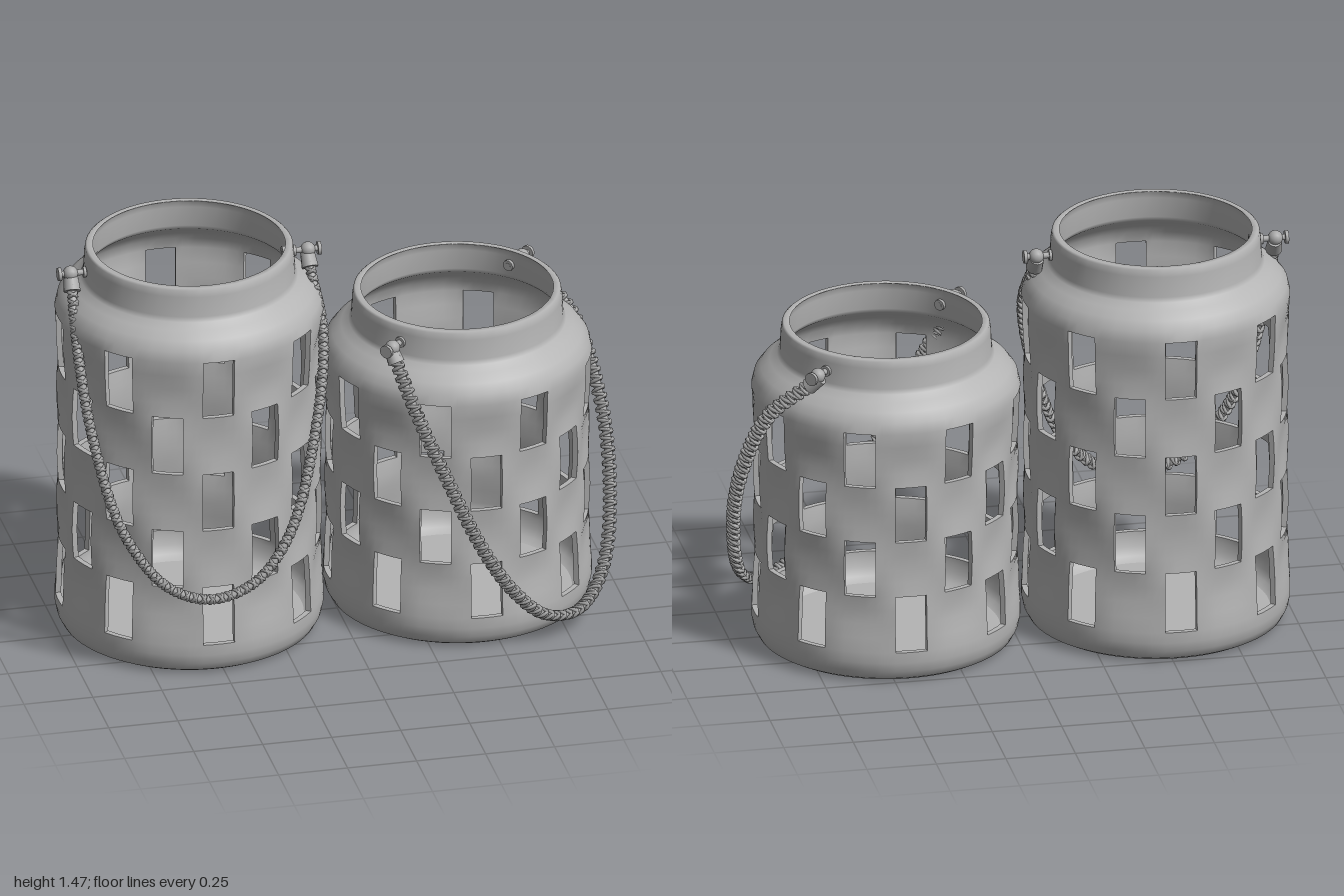
import * as THREE from 'three';

const ceramic = new THREE.MeshStandardMaterial({ color: 0xb4b4b4 });
ceramic.name = 'grey ceramic';
const cord = new THREE.MeshStandardMaterial({ color: 0xa8a8a8 });
cord.name = 'grey cord';

const R = 0.475, WALL = 0.02, BAND = 0.12; // body radius, wall, start of the window band
const HALF = 0.12;                         // half the angle of one window
const SUB = 4;                             // levels per window row

function mesh(name, geometry, material) {
  const m = new THREE.Mesh(geometry, material);
  m.name = name;
  return m;
}

// Column angles: window, gap, offset window, gap, eight times round
function columnAngles() {
  const angles = [], gap = Math.PI / 8 - 2 * HALF;
  for (let k = 0; k < 16; k++) {
    const start = k * Math.PI / 8 - HALF;
    for (let s = 0; s < 3; s++) angles.push(start + 2 * HALF * s / 3);
    for (let s = 0; s < 3; s++) angles.push(start + 2 * HALF + gap * s / 3);
  }
  return angles;
}

// Pierced jar wall: one profile up the outside, over the rim and down the inside
function makeJar(height, rows) {
  const pitch = (height - 0.24 - BAND) / rows;
  const outer = [[0, 0], [0.425, 0], [0.425, 0], [0.452, 0.015], [0.468, 0.045], [R, 0.08]];
  const first = outer.length;
  for (let i = 0; i <= rows * SUB; i++) outer.push([R, BAND + pitch * i / SUB]);
  for (const [r, drop] of [[0.466, 0.2], [0.442, 0.168], [0.41, 0.142], [0.384, 0.122],
    [0.375, 0.105], [0.371, 0.03], [0.367, 0.006], [0.36, 0]]) outer.push([r, height - drop]);
  const inner = outer.map(([r, y]) => [Math.max(0, r - WALL), y < 0.1 ? y + WALL : y]).reverse();
  const levels = outer.concat(inner), last = levels.length - 1;
  const angles = columnAngles(), n = angles.length;

  // Woven relief: panels between the windows sink inward
  const dent = (a, y) => {
    const v = (y - BAND) / pitch;
    if (v <= 0 || v >= rows) return 0;
    const fade = Math.min(1, v * 1.5, (rows - v) * 1.5);
    return 0.011 * fade * (1 - Math.cos(8 * a) * Math.sin(Math.PI * v));
  };
  const point = (i, j) => {
    const [r, y] = levels[i], a = angles[j % n];
    const d = r > 0 ? r - dent(a, y) : 0;
    return [d * Math.sin(a), y, d * Math.cos(a)];
  };
  const open = (i, j) => {
    const row = Math.floor((i - first) / SUB);
    if (row < 0 || row >= rows) return false;
    const c = (j + n) % 12;
    return row % 2 ? c >= 6 && c < 9 : c < 3;
  };

  const pos = [], index = [], jamb = [];
  for (let i = 0; i <= last; i++) for (let j = 0; j < n; j++) pos.push(...point(i, j));
  for (let i = 0; i < last; i++) {
    const outside = Math.min(i, last - 1 - i);
    for (let j = 0; j < n; j++) {
      if (open(outside, j)) continue;
      const a = i * n + j, b = i * n + (j + 1) % n;
      index.push(a, b, b + n, a, b + n, a + n);
    }
  }
  // Window edges join the outside of the wall to the inside
  for (let i = first; i < first + rows * SUB; i++) for (let j = 0; j < n; j++) {
    if (!open(i, j)) continue;
    const sides = [[i - 1, j, [i, j], [i, j + 1]], [i, j + 1, [i, j + 1], [i + 1, j + 1]],
      [i + 1, j, [i + 1, j + 1], [i + 1, j]], [i, j - 1, [i + 1, j], [i, j]]];
    for (const [ni, nj, p, q] of sides) {
      if (open(ni, nj)) continue;
      const A = point(...p), B = point(...q);
      const C = point(last - q[0], q[1]), D = point(last - p[0], p[1]);
      jamb.push(...A, ...B, ...C, ...A, ...C, ...D);
    }
  }
  const skin = new THREE.BufferGeometry();
  skin.setAttribute('position', new THREE.Float32BufferAttribute(pos, 3));
  skin.setIndex(index);
  skin.computeVertexNormals();
  const edges = new THREE.BufferGeometry();
  edges.setAttribute('position', new THREE.Float32BufferAttribute(jamb, 3));
  edges.computeVertexNormals();
  const jar = new THREE.Group();
  jar.name = 'jar';
  jar.add(mesh('jarWall', skin, ceramic), mesh('windowEdges', edges, ceramic));
  return jar;
}

// One cord wound round the handle, flattened across the loop
class Coil extends THREE.Curve {
  constructor(path, across, turns) {
    super();
    Object.assign(this, { path, across, turns });
  }
  getPoint(t, target = new THREE.Vector3()) {
    const a = t * this.turns * Math.PI * 2;
    const side = this.path.getTangentAt(t).cross(this.across).normalize();
    return target.copy(this.path.getPointAt(t))
      .addScaledVector(this.across, 0.024 * Math.cos(a))
      .addScaledVector(side, 0.013 * Math.sin(a));
  }
}

function makeHandle(points, facing) {
  const handle = new THREE.Group();
  handle.name = 'ropeHandle';
  const path = new THREE.CatmullRomCurve3(points.map(p => new THREE.Vector3(...p)));
  path.arcLengthDivisions = 600;
  const across = new THREE.Vector3(Math.sin(facing) * 0.9, 0.43, Math.cos(facing) * 0.9).normalize();
  handle.add(mesh('ropeCore', new THREE.TubeGeometry(path, 80, 0.015, 8), cord));
  for (const turns of [85, -85]) {
    const coil = new Coil(path, across, turns);
    coil.arcLengthDivisions = 1000;
    handle.add(mesh('ropeCoil', new THREE.TubeGeometry(coil, 850, 0.007, 5), cord));
  }
  // Ferrules at both ends of the rope
  for (const t of [0, 1]) {
    const f = mesh('ropeFerrule', new THREE.CylinderGeometry(0.025, 0.03, 0.06, 14), cord);
    const up = path.getTangentAt(t).multiplyScalar(t ? 1 : -1);
    f.quaternion.setFromUnitVectors(new THREE.Vector3(0, 1, 0), up);
    f.position.copy(path.getPointAt(t)).addScaledVector(up, 0.01);
    handle.add(f);
  }
  return handle;
}

// Pin through the neck, pointing out along +x before it is turned
function makePin(y, turn) {
  const pin = new THREE.Group();
  pin.name = 'handlePin';
  for (const [name, radius, length, x] of [['pinShaft', 0.011, 0.14, 0.405],
    ['pinHead', 0.024, 0.012, 0.47], ['pinWasher', 0.02, 0.01, 0.38], ['pinNut', 0.02, 0.012, 0.342]]) {
    const part = mesh(name, new THREE.CylinderGeometry(radius, radius, length, 14), cord);
    part.rotation.z = Math.PI / 2;
    part.position.x = x;
    pin.add(part);
  }
  const eye = mesh('pinEye', new THREE.SphereGeometry(0.027, 14, 10), cord);
  eye.position.x = 0.43;
  pin.add(eye);
  pin.position.y = y;
  pin.rotation.y = turn;
  return pin;
}

function makeLantern(name, x, z, height, rows, pinY, facing, path) {
  const lantern = new THREE.Group();
  lantern.name = name;
  const local = path.map(p => [p[0] - x, p[1], p[2] - z]);
  lantern.add(makeJar(height, rows), makeHandle(local, facing));
  for (const turn of [0, Math.PI]) lantern.add(makePin(pinY, facing + turn));
  lantern.position.set(x, 0, z);
  return lantern;
}

export function createModel() {
  const model = new THREE.Group();
  model.name = 'lanterns';
  model.add(makeLantern('tallLantern', -0.525, -0.05, 1.47, 5, 1.4, 0, [
    [-0.955, 1.36, -0.03], [-0.968, 1.15, 0.14], [-0.935, 0.85, 0.26], [-0.86, 0.57, 0.38],
    [-0.72, 0.38, 0.45], [-0.56, 0.32, 0.465], [-0.4, 0.37, 0.46], [-0.27, 0.52, 0.42],
    [-0.16, 0.8, 0.31], [-0.082, 1.14, 0.14], [-0.095, 1.36, -0.03]]));
  model.add(makeLantern('shortLantern', 0.445, -0.045, 1.195, 4, 1.135, Math.PI / 4, [
    [0.145, 1.1, 0.27], [0.21, 0.9, 0.38], [0.29, 0.7, 0.45], [0.4, 0.45, 0.495],
    [0.52, 0.25, 0.485], [0.65, 0.12, 0.45], [0.8, 0.08, 0.35], [0.92, 0.17, 0.2],
    [0.975, 0.435, 0.05], [0.97, 0.7, -0.1], [0.9, 0.96, -0.25], [0.765, 1.1, -0.335]]));
  return model;
}
